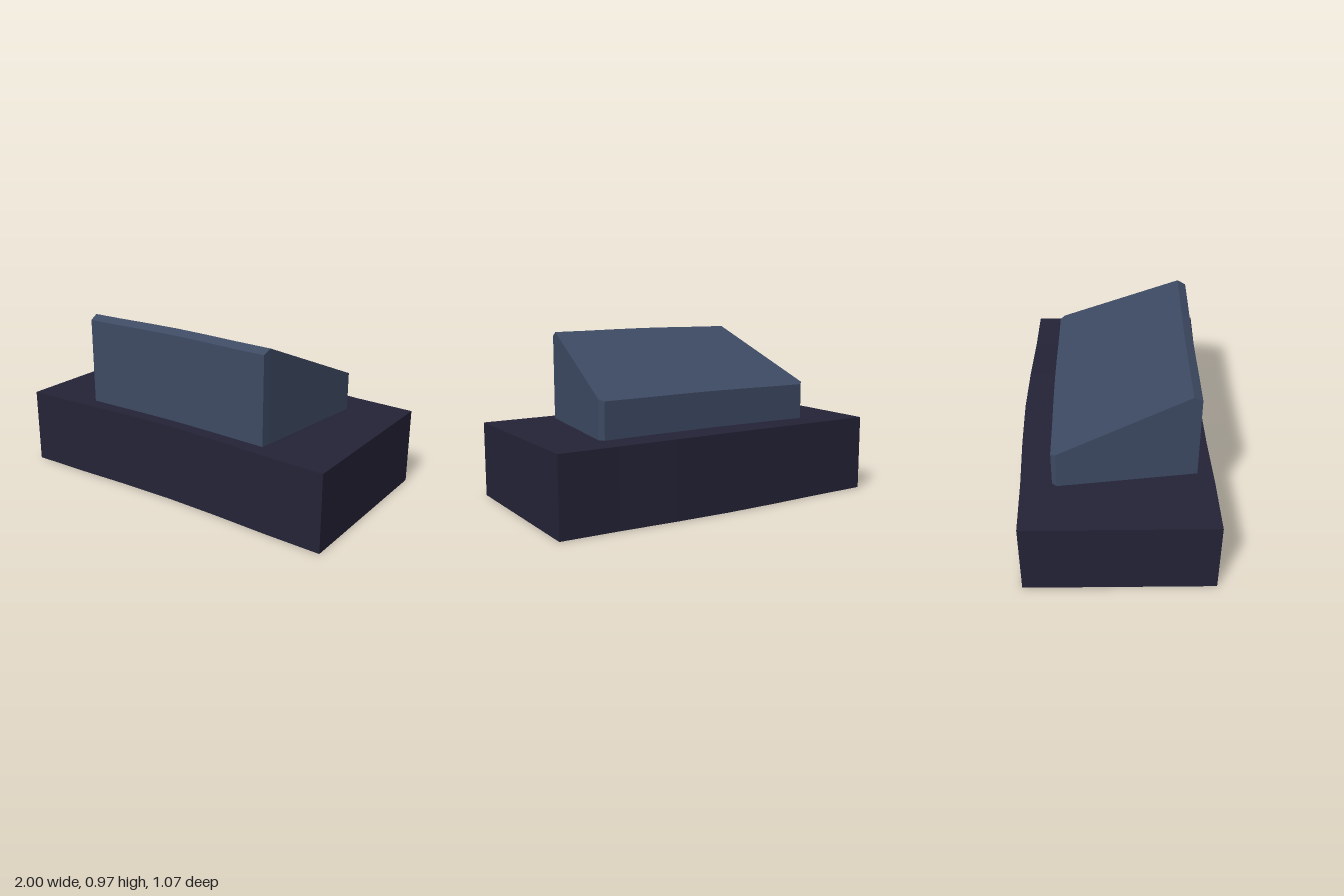
import * as THREE from 'three';

const baseMaterial = new THREE.MeshStandardMaterial({ color: 0x242337 });
baseMaterial.name = 'dark plum';
const housingMaterial = new THREE.MeshStandardMaterial({ color: 0x3d4a63 });
housingMaterial.name = 'slate blue';

// Slight crown and bow: 1 at the middle, falling to 0 at the ends.
const ease = (t) => (1 - Math.cos(Math.PI * Math.max(0, 1 - Math.abs(t)))) / 2;

// Moulds a box: each station (back to front) gives z, half width and top height.
function mouldedBlock(name, material, stations, bottom, shape) {
  const rows = stations.length - 1;
  const box = new THREE.BoxGeometry(2, 1, rows, 6, 1, rows);
  const p = box.attributes.position;
  for (let i = 0; i < p.count; i++) {
    const u = p.getX(i);
    const s = stations[Math.round(p.getZ(i) + rows / 2)];
    const { bow, crown } = shape(u);
    p.setXYZ(i, u * s.half, p.getY(i) > 0 ? s.top + crown : bottom, s.z + bow);
  }
  const geometry = box.toNonIndexed();
  geometry.clearGroups();
  geometry.computeVertexNormals();
  const mesh = new THREE.Mesh(geometry, material);
  mesh.name = name;
  return mesh;
}

export function createModel() {
  const model = new THREE.Group();
  model.name = 'wedgeBlock';

  // Wide base, bowed gently backwards in the middle
  model.add(mouldedBlock('base', baseMaterial, [
    { z: -0.507, half: 1, top: 0.438 },
    { z: 0.534, half: 1, top: 0.438 },
  ], 0, (u) => ({ bow: -0.029 * ease(u), crown: 0.008 * ease(u) })));

  // Tapered housing: clipped back corners, sloping top, bevelled front edge
  model.add(mouldedBlock('housing', housingMaterial, [
    { z: -0.345, half: 0.66, top: 0.646 },
    { z: -0.32, half: 0.682, top: 0.657 },
    { z: 0.39, half: 0.597, top: 0.96 },
    { z: 0.438, half: 0.591, top: 0.935 },
  ], 0.42, (u) => ({ bow: -0.006 * ease(u), crown: 0.006 * ease(u) })));

  return model;
}
